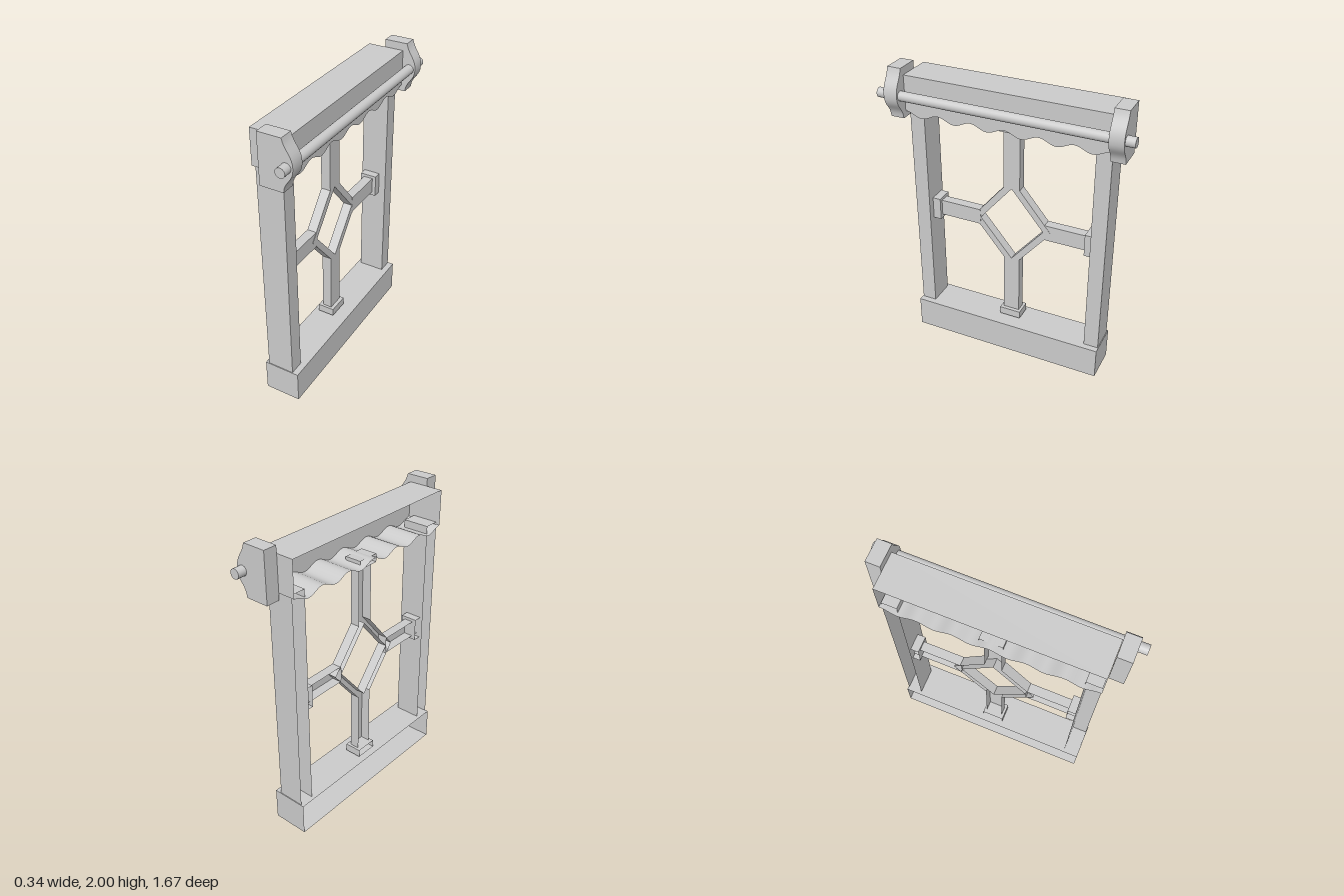
import * as THREE from 'three';
import { toCreasedNormals } from 'three/addons/utils/BufferGeometryUtils.js';

const solid = new THREE.MeshStandardMaterial({ color: 0xcccccc });
const shell = new THREE.MeshStandardMaterial({ color: 0xcccccc, side: THREE.DoubleSide });

// Drop the triangles lying on the back plane (lowest x), leaving an open shell
function openBack(source) {
  const geo = source.index ? source.toNonIndexed() : source;
  geo.computeBoundingBox();
  const limit = geo.boundingBox.min.x + 1e-4;
  const p = geo.attributes.position;
  const kept = [];
  for (let i = 0; i < p.count; i += 3) {
    if ([0, 1, 2].every((k) => p.getX(i + k) < limit)) continue;
    for (let k = 0; k < 3; k++) kept.push(p.getX(i + k), p.getY(i + k), p.getZ(i + k));
  }
  const out = new THREE.BufferGeometry();
  out.setAttribute('position', new THREE.Float32BufferAttribute(kept, 3));
  return toCreasedNormals(out, 0.6);
}

function add(group, name, geometry, material = shell) {
  const mesh = new THREE.Mesh(geometry, material);
  mesh.name = name;
  group.add(mesh);
}

// Open-backed box given by its limits on each axis
function channel(x0, x1, y0, y1, z0, z1) {
  const geo = new THREE.BoxGeometry(x1 - x0, y1 - y0, z1 - z0);
  geo.translate((x0 + x1) / 2, (y0 + y1) / 2, (z0 + z1) / 2);
  return openBack(geo);
}

// Shape drawn in (z, y), extruded along x from x0 to x1
function extrudeX(shape, x0, x1) {
  const geo = new THREE.ExtrudeGeometry(shape, { depth: x1 - x0, bevelEnabled: false });
  geo.rotateY(Math.PI / 2);
  geo.translate(x0, 0, 0);
  return geo;
}

const points = (list) => list.map(([a, b]) => new THREE.Vector2(a, b));

export function createModel() {
  const model = new THREE.Group();
  model.name = 'windowFrame';

  // Sill and side posts
  add(model, 'sill', channel(-0.17, 0.075, 0, 0.22, -0.68, 0.68));
  add(model, 'leftPost', channel(-0.148, 0.033, 0.21, 1.73, 0.575, 0.675));
  add(model, 'rightPost', channel(-0.148, 0.033, 0.21, 1.73, -0.675, -0.575));

  // Lintel with a scalloped lower edge
  const edge = [[-0.68, 1.95]];
  const steps = 72;
  for (let i = 0; i <= steps; i++) {
    const t = i / steps;
    edge.push([-0.68 + 1.36 * t, 1.695 + 0.018 * Math.cos(t * 12 * Math.PI)]);
  }
  edge.push([0.68, 1.95]);
  add(model, 'lintel', openBack(extrudeX(new THREE.Shape(points(edge)), -0.17, 0.075)));

  // Cross-shaped lattice with a diamond opening, mirrored from one quarter
  const cy = 0.98;
  const quarter = [[0.575, 0.055], [0.235, 0.055], [0.057, 0.27], [0.057, 0.72]];
  const flip = (a, b) => quarter.map(([z, y]) => [a * z, cy + b * y]);
  const outline = [
    ...flip(1, 1), ...flip(-1, 1).reverse(), ...flip(-1, -1), ...flip(1, -1).reverse(),
  ];
  const lattice = new THREE.Shape(points(outline));
  lattice.holes.push(new THREE.Path(points(
    [[0.225, cy], [0, cy - 0.27], [-0.225, cy], [0, cy + 0.27]])));
  add(model, 'lattice', openBack(extrudeX(lattice, -0.105, -0.04)));

  // Outer points of the diamond, overlapping the side arms
  for (const s of [1, -1]) {
    const tip = new THREE.Shape(points(
      [[s * 0.225, cy], [s * 0.23, cy - 0.061], [s * 0.28, cy], [s * 0.23, cy + 0.061]]));
    add(model, 'diamondTip', openBack(extrudeX(tip, -0.105, -0.038)));
  }

  // Square caps where the lattice meets the frame
  for (const [name, y0, y1, z0, z1] of [
    ['bottomCap', 0.232, 0.285, -0.075, 0.075],
    ['topCap', 1.655, 1.71, -0.075, 0.075],
    ['leftCap', 0.9, 1.055, 0.52, 0.575],
    ['rightCap', 0.9, 1.055, -0.575, -0.52],
  ]) add(model, name, channel(-0.13, -0.015, y0, y1, z0, z1));

  // Curved end brackets carrying the rod
  const profile = new THREE.Shape();
  profile.moveTo(-0.055, 1.67);
  profile.lineTo(0.1, 1.67);
  profile.bezierCurveTo(0.105, 1.75, 0.165, 1.75, 0.165, 1.835);
  profile.bezierCurveTo(0.165, 1.91, 0.115, 1.93, 0.1, 2);
  profile.lineTo(-0.055, 2);
  const bracket = toCreasedNormals(new THREE.ExtrudeGeometry(
    profile, { depth: 0.092, bevelEnabled: false, curveSegments: 8 }), 0.6);
  add(model, 'leftBracket', bracket.clone().translate(0, 0, 0.682), solid);
  add(model, 'rightBracket', bracket.clone().translate(0, 0, -0.774), solid);

  // Round rod
  const rod = new THREE.CylinderGeometry(0.032, 0.032, 1.666, 24);
  rod.rotateX(Math.PI / 2).translate(0.122, 1.83, 0);
  add(model, 'rod', rod, solid);

  return model;
}
